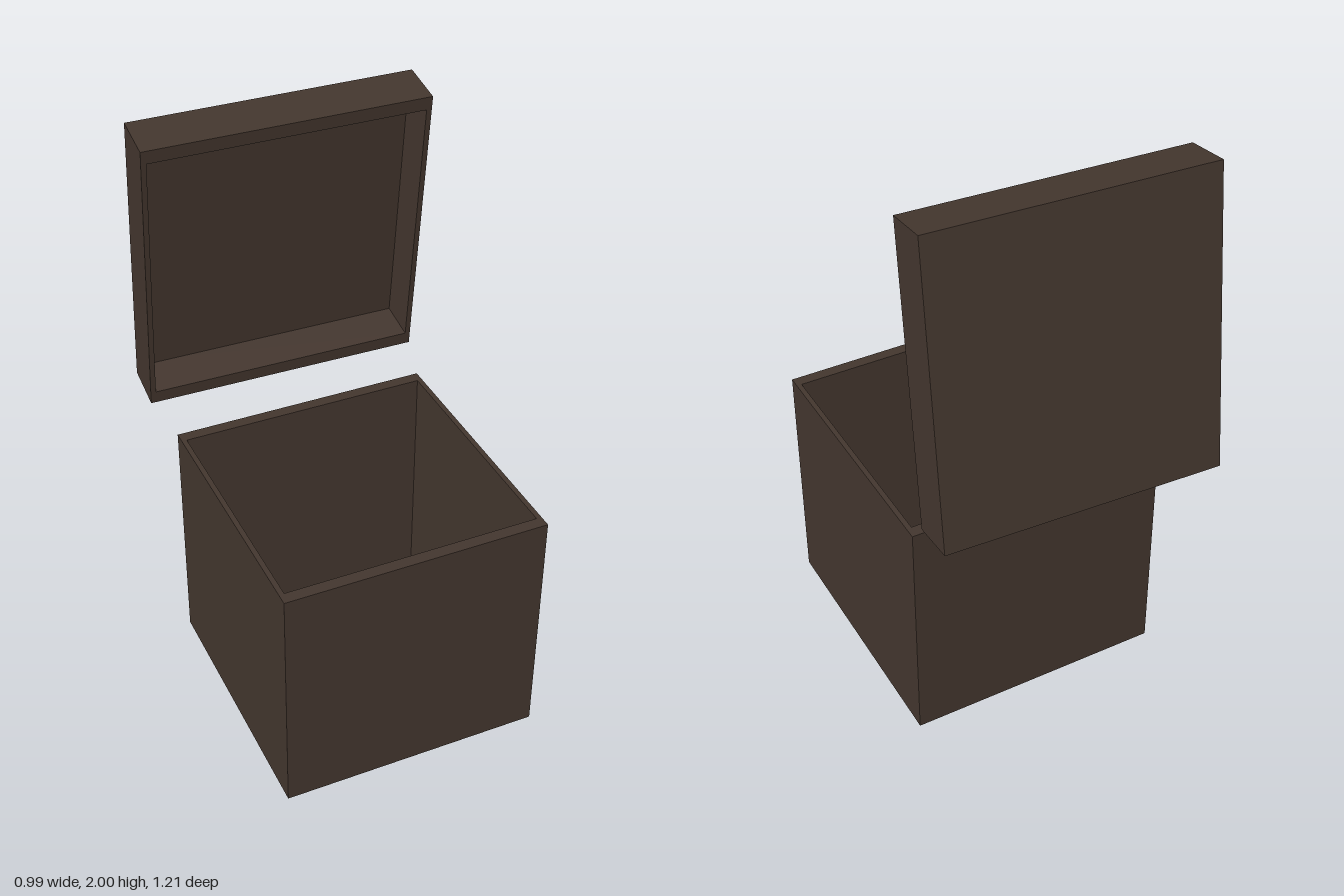
import * as THREE from 'three';

const wood = new THREE.MeshStandardMaterial({ color: 0x43362e });
wood.name = 'dark brown';

// Open tray: a rectangular frame (w by d, height h along +y) closed by a panel at y = 0
function tray(name, w, d, h, sideWall, endWall, panel) {
  const group = new THREE.Group();
  group.name = name;
  const iw = w / 2 - sideWall, id = d / 2 - endWall;
  const rect = (Type, x, y) => new Type([[-x, -y], [x, -y], [x, y], [-x, y]].map(p => new THREE.Vector2(...p)));
  const outline = rect(THREE.Shape, w / 2, d / 2);
  outline.holes.push(rect(THREE.Path, iw, id));
  const frame = new THREE.ExtrudeGeometry(outline, { depth: h, bevelEnabled: false });
  frame.rotateX(-Math.PI / 2);
  const walls = new THREE.Mesh(frame, wood);
  walls.name = name + 'Walls';
  const base = new THREE.Mesh(new THREE.BoxGeometry(iw * 2, panel, id * 2), wood);
  base.position.y = panel / 2;
  base.name = name + 'Panel';
  group.add(walls, base);
  return group;
}

export function createModel() {
  const model = new THREE.Group();
  model.name = 'openBox';

  // Box standing on the ground, open at the top
  const box = tray('box', 0.912, 0.937, 0.865, 0.018, 0.042, 0.02);
  box.position.set(0.03, 0, 0.137);
  model.add(box);

  // Lid raised behind the box, its hollow side facing forward and slightly down
  const lidDepth = 0.165;
  const lid = tray('lid', 0.967, 1.035, lidDepth, 0.018, 0.047, 0.02);
  lid.rotation.x = Math.PI / 2;
  lid.position.z = -lidDepth / 2;
  const lidPivot = new THREE.Group();
  lidPivot.name = 'lidTilt';
  lidPivot.add(lid);
  const across = new THREE.Vector3(0.9992, 0.014, 0.0362).normalize();
  const forward = new THREE.Vector3(-0.0338, -0.146, 0.988);
  const up = forward.clone().cross(across).normalize();
  forward.crossVectors(across, up);
  lidPivot.quaternion.setFromRotationMatrix(new THREE.Matrix4().makeBasis(across, up, forward));
  lidPivot.position.set(-0.002, 1.472, -0.43);
  model.add(lidPivot);

  return model;
}
